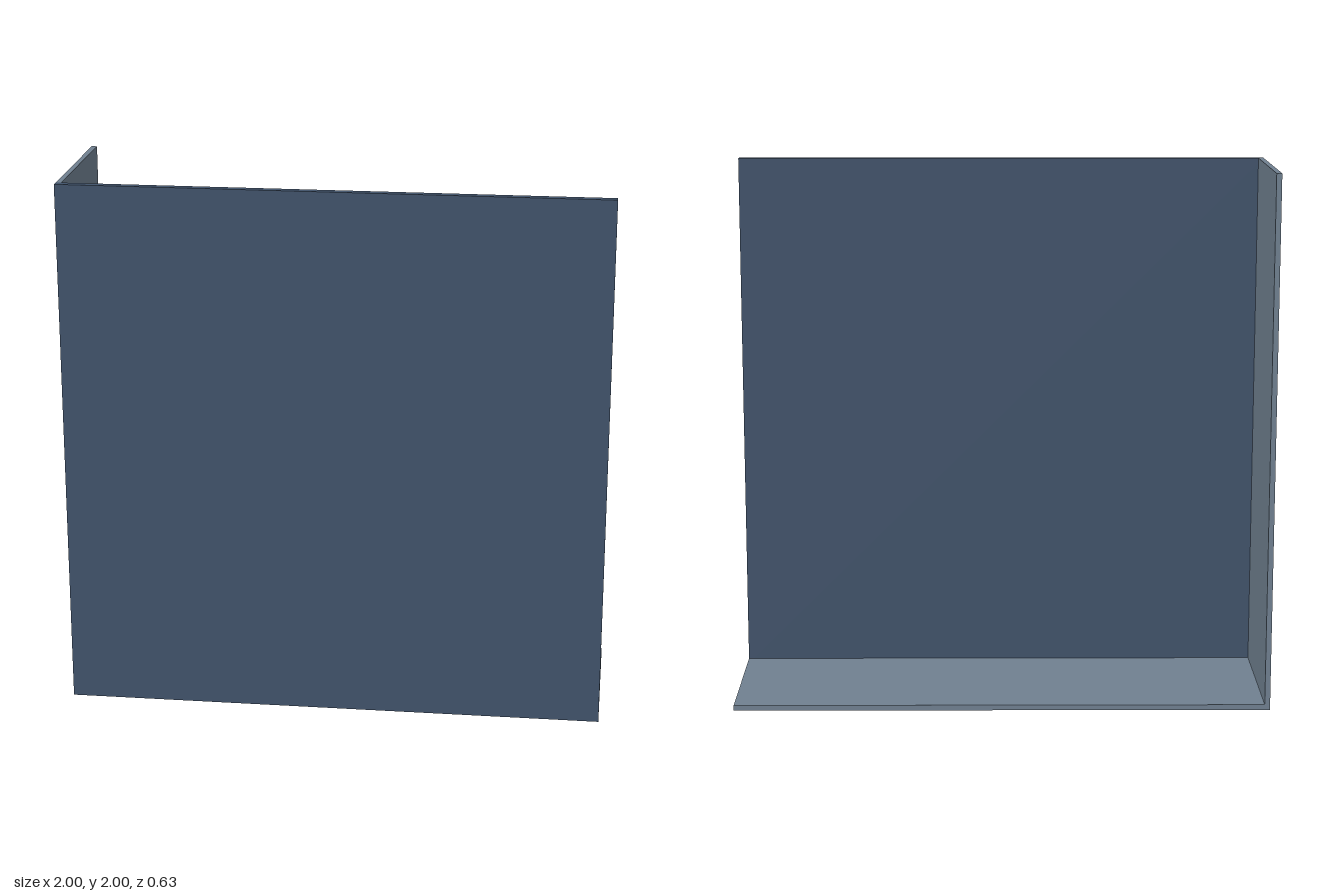
import * as THREE from 'three';

export function createModel() {
  const group = new THREE.Group();
  const blue = new THREE.MeshStandardMaterial({ color: 0x40526a });
  const slate = new THREE.MeshStandardMaterial({ color: 0x708090 });

  // Adds a flat panel spanning two opposite corners
  function panel(name, material, min, max) {
    const size = max.map((v, i) => v - min[i]);
    const mesh = new THREE.Mesh(new THREE.BoxGeometry(...size), material);
    mesh.position.set(...max.map((v, i) => (v + min[i]) / 2));
    mesh.name = name;
    group.add(mesh);
  }

  const depth = 0.315;      // half of the overall depth
  const frontBack = 0.285;  // rear face of the front panel
  const thin = 0.02;        // thickness of the side and bottom panels

  panel('frontPanel', blue, [-1, 0, frontBack], [1, 2, depth]);
  panel('sidePanel', slate, [-1, 0, -depth], [-1 + thin, 2, frontBack]);
  panel('bottomPanel', slate, [-1 + thin, 0, -depth], [1, thin, frontBack]);

  return group;
}
